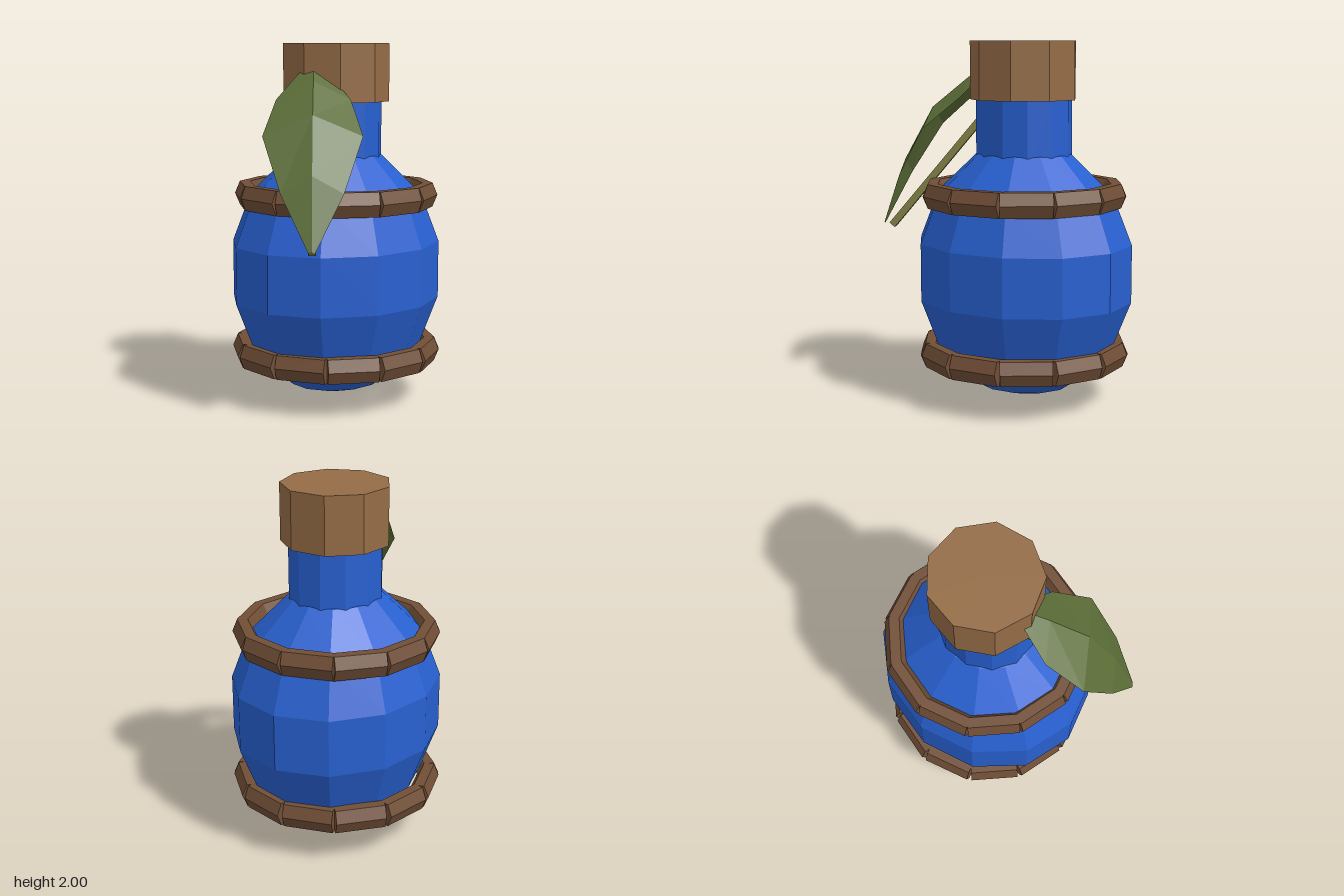
import * as THREE from 'three';

const mat = (color, extra = {}) => new THREE.MeshStandardMaterial({ color, flatShading: true, ...extra });
const AXIS_X = 0.067; // the flask's vertical axis

export function createModel() {
  const group = new THREE.Group();
  const blue = mat(0x2860d0), cork = mat(0x946c46), wood = mat(0x704e36);
  const green = mat(0x5c6e38, { side: THREE.DoubleSide }), stemGreen = mat(0x85854a);

  const add = (name, geometry, material, parent = group) => {
    const mesh = new THREE.Mesh(geometry, material);
    mesh.name = name;
    parent.add(mesh);
    return mesh;
  };

  // Twelve-sided bulb, slightly narrower in depth
  const profile = [[0, 0], [0.28, 0.08], [0.52, 0.3], [0.63, 0.57], [0.63, 0.89], [0.52, 1.16], [0.28, 1.38], [0, 1.45]]
    .map(([r, y]) => new THREE.Vector2(r, y));
  const body = add('body', new THREE.LatheGeometry(profile, 12), blue);
  body.scale.z = 0.905;
  body.position.x = AXIS_X;

  // Neck and nine-sided stopper
  const neck = add('neck', new THREE.CylinderGeometry(0.278, 0.278, 0.4, 12, 1, false, Math.PI / 12), blue);
  neck.scale.z = 0.91;
  neck.position.set(AXIS_X, 1.5, 0);
  const stopper = add('stopper', new THREE.CylinderGeometry(0.3, 0.3, 0.32, 9, 1, false, Math.PI * 1.5), cork);
  stopper.position.set(AXIS_X, 1.84, 0);

  // Bands of twelve straight hexagonal segments, open at the outer corners
  const band = (name, y, r) => {
    const ring = new THREE.Group();
    ring.name = name;
    ring.position.set(AXIS_X, y, 0);
    const length = 0.279, h = 0.067;
    const section = new THREE.Shape([[0, 0], [-0.028, h], [-0.085, h], [-0.123, 0], [-0.085, -h], [-0.028, -h]]
      .map(([x, v]) => new THREE.Vector2(r + x, v)));
    const geometry = new THREE.ExtrudeGeometry(section, { depth: length, bevelEnabled: false });
    geometry.translate(0, 0, -length / 2);
    for (let i = 0; i < 12; i++) {
      add('bandSegment', geometry, wood, ring).rotation.y = (i + 0.5) * Math.PI / 6;
    }
    group.add(ring);
  };
  band('upperBand', 1.157, 0.558);
  band('lowerBand', 0.268, 0.578);

  // Leaf frame: s runs outward from the neck, n runs across the leaf
  const RIDGE = -0.08;
  const place = (s, n, y) => new THREE.Vector3(-0.82 * s + 0.57 * n, y, 0.57 * s + 0.82 * n);

  // Folded leaf: [distance, half width, edge height, ridge height]
  const stations = [
    [0.16, 0.08, 1.84, 1.88],
    [0.28, 0.2, 1.7, 1.8],
    [0.49, 0.262, 1.52, 1.63],
    [0.655, 0.163, 1.24, 1.33],
    [0.785, 0.015, 0.95, 0.96],
  ];
  const positions = [], index = [];
  stations.forEach(([s, w, edgeY, ridgeY], i) => {
    for (const side of [-1, 0, 1]) {
      positions.push(...place(s, RIDGE + side * w, side ? edgeY : ridgeY).toArray());
    }
    if (i === 0) return;
    for (let j = 0; j < 2; j++) {
      const a = (i - 1) * 3 + j, b = a + 3;
      index.push(a, a + 1, b, a + 1, b + 1, b);
    }
  });
  const leafGeometry = new THREE.BufferGeometry();
  leafGeometry.setAttribute('position', new THREE.Float32BufferAttribute(positions, 3));
  leafGeometry.setIndex(index);
  leafGeometry.computeVertexNormals();
  add('leaf', leafGeometry, green);

  // Straight stem from the neck to the leaf tip
  const start = place(0.12, RIDGE, 1.67), end = place(0.735, RIDGE, 0.945);
  const stem = add('leafStem', new THREE.BoxGeometry(0.04, 0.04, start.distanceTo(end)), stemGreen);
  stem.position.copy(start).lerp(end, 0.5);
  stem.lookAt(end);

  return group;
}
